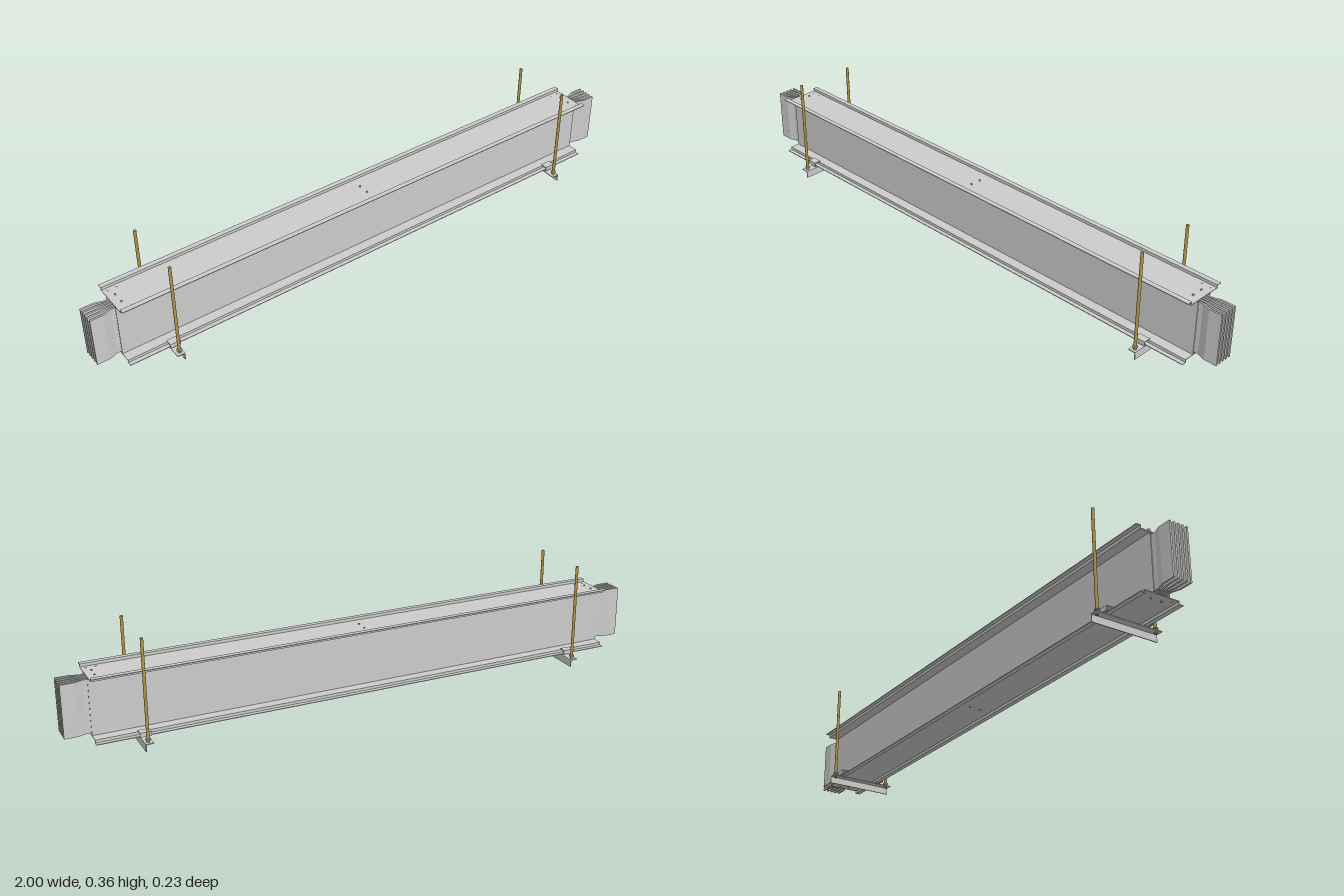
import * as THREE from 'three';

const grey = new THREE.MeshStandardMaterial({ color: 0xcccccc, side: THREE.DoubleSide });
const brass = new THREE.MeshStandardMaterial({ color: 0xb0954a });

// Closed outline of a bent sheet: a centre line thickened with mitred corners
function sheetShape(points, thickness) {
  const p = points.map(([x, y]) => new THREE.Vector2(x, y));
  const normal = (a, b) => new THREE.Vector2(a.y - b.y, b.x - a.x).normalize();
  const left = [], right = [];
  p.forEach((v, i) => {
    const n0 = i > 0 ? normal(p[i - 1], v) : normal(v, p[i + 1]);
    const n1 = i < p.length - 1 ? normal(v, p[i + 1]) : n0;
    const m = n0.clone().add(n1).normalize();
    m.multiplyScalar(thickness / 2 / m.dot(n0));
    left.push(v.clone().add(m));
    right.unshift(v.clone().sub(m));
  });
  return new THREE.Shape([...left, ...right]);
}

// Bent sheet drawn in (z, y) and extruded along x, centred on x = 0
function sheetAlongX(points, thickness, length) {
  const shape = sheetShape(points.map(([z, y]) => [-z, y]), thickness);
  const g = new THREE.ExtrudeGeometry(shape, { depth: length, bevelEnabled: false });
  return g.translate(0, 0, -length / 2).rotateY(Math.PI / 2);
}

function add(parent, name, geometry, material = grey, x = 0, y = 0, z = 0) {
  const mesh = new THREE.Mesh(geometry, material);
  mesh.name = name;
  mesh.position.set(x, y, z);
  parent.add(mesh);
  return mesh;
}

export function createModel() {
  const model = new THREE.Group();
  model.name = 'busbarTrunking';
  const length = 1.83;

  // Top and bottom covers: shallow hat channels with outward flanges
  const hat = (webY, flangeY) => [
    [0.076, flangeY], [0.061, flangeY], [0.061, webY],
    [-0.061, webY], [-0.061, flangeY], [-0.076, flangeY],
  ];
  add(model, 'topCover', sheetAlongX(hat(0.235, 0.245), 0.0025, length));
  add(model, 'bottomCover', sheetAlongX(hat(0.0445, 0.035), 0.0025, length));

  // Side plates of the housing
  for (const s of [-1, 1]) {
    add(model, 'sidePlate', new THREE.BoxGeometry(length, 0.19, 0.002), grey, 0, 0.14, s * 0.027);
  }

  // Conductor bars: packed inside the housing, fanned out at both ends
  for (let i = -2; i <= 2; i++) {
    const inner = i * 0.0105, outer = i * 0.015;
    const path = [
      [-1, outer], [-0.957, outer], [-0.93, inner],
      [0.93, inner], [0.957, outer], [1, outer],
    ];
    const g = new THREE.ExtrudeGeometry(sheetShape(path, 0.006), { depth: 0.175, bevelEnabled: false });
    add(model, 'conductorBar', g.rotateX(-Math.PI / 2), grey, 0, 0.053, 0);
  }

  // Cover screws at the ends and the middle, plus small outer rivets at the ends
  const screw = new THREE.CylinderGeometry(0.003, 0.003, 0.004, 12);
  const rivet = new THREE.CylinderGeometry(0.003, 0.003, 0.001, 12);
  for (const s of [-1, 1]) {
    for (const x of [-0.89, 0, 0.89]) {
      add(model, 'coverScrew', screw, grey, x, 0.238, s * 0.019);
      add(model, 'coverScrew', screw, grey, x, 0.0415, s * 0.019);
    }
    for (const x of [-0.9, -0.87, 0.87, 0.9]) {
      add(model, 'coverRivet', rivet, grey, x, 0.2365, s * 0.048);
      add(model, 'coverRivet', rivet, grey, x, 0.043, s * 0.048);
    }
  }

  // Hangers: angle bar, two threaded rods with nuts, two hold-down clamps
  for (const x of [-0.765, 0.765]) {
    const hanger = new THREE.Group();
    hanger.name = 'hanger';
    hanger.position.x = x;
    model.add(hanger);

    const angle = sheetShape([[-0.014, 0.0245], [0.0105, 0.0245], [0.0105, 0]], 0.003);
    const angleGeometry = new THREE.ExtrudeGeometry(angle, { depth: 0.234, bevelEnabled: false });
    add(hanger, 'angleBar', angleGeometry, grey, 0, 0, -0.117);

    for (const s of [-1, 1]) {
      const z = s * 0.104;
      add(hanger, 'rod', new THREE.CylinderGeometry(0.005, 0.005, 0.342, 16), brass, 0, 0.191, z);
      add(hanger, 'washer', new THREE.CylinderGeometry(0.009, 0.009, 0.002, 20), grey, 0, 0.036, z);
      const clamp = [[s * 0.059, 0.0485], [s * 0.0825, 0.0485], [s * 0.0825, 0.035]];
      add(hanger, 'clamp', sheetAlongX(clamp, 0.003, 0.036));
    }
  }
  return model;
}
